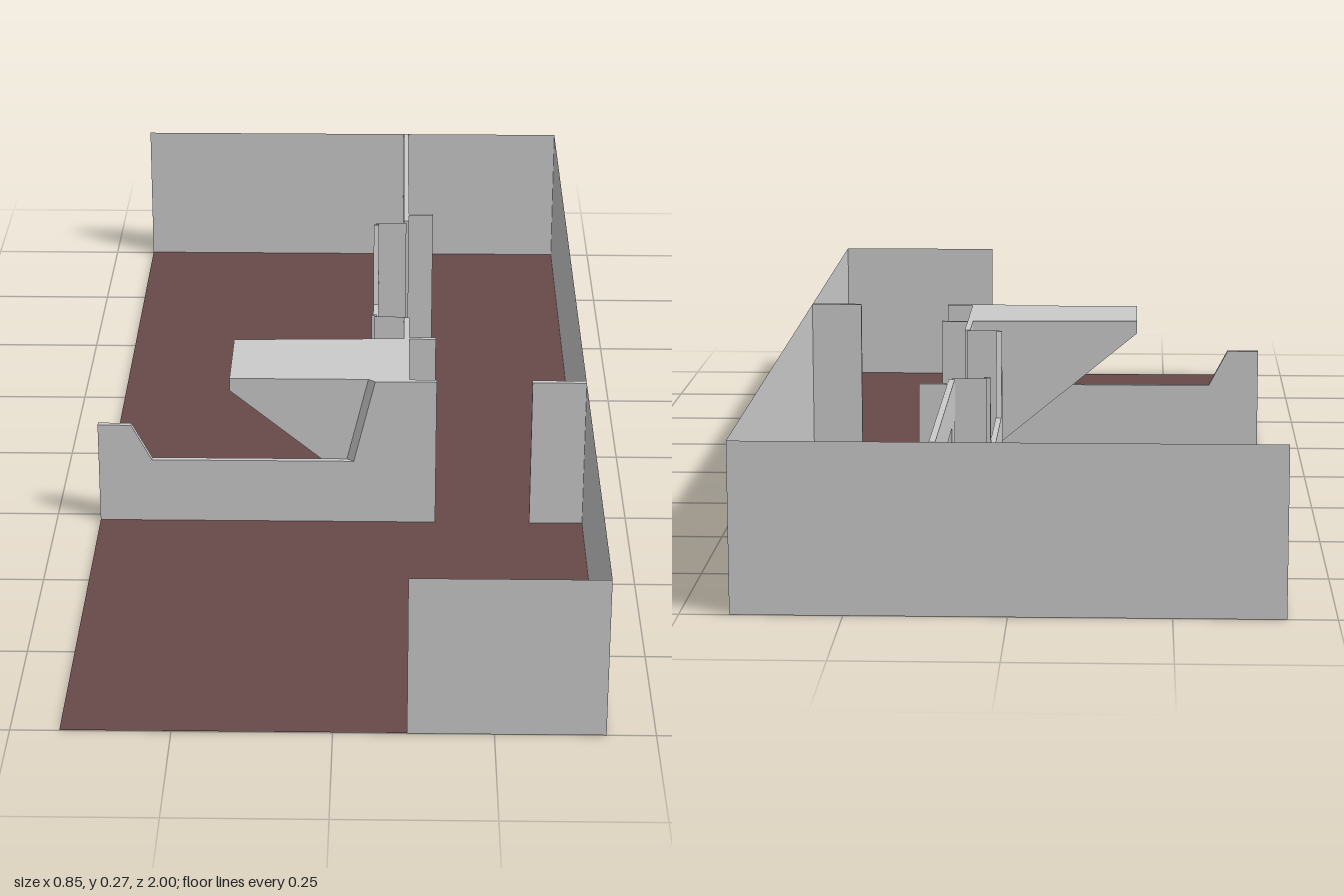
import * as THREE from 'three';

const H = 0.27, T = 0.01, W = 0.423;
const grey = new THREE.MeshStandardMaterial({ color: 0xcccccc, side: THREE.DoubleSide, flatShading: true });
const brown = new THREE.MeshStandardMaterial({ color: 0x684a4a, side: THREE.DoubleSide });

export function createModel() {
  const model = new THREE.Group();

  const add = (name, geometry, material = grey) => {
    const mesh = new THREE.Mesh(geometry, material);
    mesh.name = name;
    model.add(mesh);
    return mesh;
  };

  // Upright box between two plan corners
  const wall = (name, x0, x1, z0, z1, y0 = 0, y1 = H) =>
    add(name, new THREE.BoxGeometry(x1 - x0, y1 - y0, z1 - z0))
      .position.set((x0 + x1) / 2, (y0 + y1) / 2, (z0 + z1) / 2);

  // Paper-thin upright panel along x or z
  const panel = (name, x0, z0, x1, z1) => {
    const mesh = add(name, new THREE.PlaneGeometry(Math.hypot(x1 - x0, z1 - z0), H));
    mesh.position.set((x0 + x1) / 2, H / 2, (z0 + z1) / 2);
    mesh.rotation.y = -Math.atan2(z1 - z0, x1 - x0);
  };

  const extrude = (points, depth) => new THREE.ExtrudeGeometry(
    new THREE.Shape(points.map(([x, y]) => new THREE.Vector2(x, y))), { depth, bevelEnabled: false });

  // Move the vertices of a geometry by a rule
  const bend = (geometry, rule) => {
    const p = geometry.attributes.position, v = new THREE.Vector3();
    for (let i = 0; i < p.count; i++) {
      rule(v.fromBufferAttribute(p, i));
      p.setXYZ(i, v.x, v.y, v.z);
    }
    geometry.computeVertexNormals();
    return geometry;
  };

  // Floor, just above the feet of the walls
  const floor = add('floor', new THREE.PlaneGeometry(2 * W, 2), brown);
  floor.rotation.x = -Math.PI / 2;
  floor.position.y = 0.001;

  // Thin outer walls
  panel('leftOuterWall', W, 1, W, -1);
  panel('backOuterWall', -W, -1, W, -1);
  panel('frontOuterWall', 0.115, 1, W, 1);

  // Corridor wall with a doorway near the back
  const x0 = 0.108, x1 = x0 + T;
  wall('corridorWallBack', x0, x1, -1, -0.7);
  wall('corridorLintel', x0, x1, -0.7, -0.58, 0.205, H);
  wall('corridorDoorPost', x0, x1, -0.58, -0.495);
  wall('corridorWallFront', x0, x1, 0.01 - 0.022, 0.263);
  for (const z of [-0.535, 0.078]) wall('corridorStub', x1, 0.165, z, z + 0.008);

  // Low wall set out from the corridor, with sloping ends and thin returns
  const low = add('lowSillWall', extrude(
    [[-0.477, 0], [-0.02, 0], [-0.02, H], [-0.025, H], [-0.063, 0.118], [-0.438, 0.118], [-0.472, H], [-0.477, H]], T));
  low.rotation.y = -Math.PI / 2;
  low.position.x = 0.06;
  for (const z of [-0.485, -0.016]) panel('nicheReturn', 0.055, z, 0.113, z);

  // Cross wall with a cut-out whose inner slope is splayed
  const cross = extrude([[-W, 0], [0.165, 0], [0.165, H], [0.059, H], [0.022, 0.118],
    [-0.33, 0.118], [-0.365, 0.184], [-W, 0.184]], T);
  add('crossWall', bend(cross, v => {
    if (v.z < T / 2 && v.x > 0 && v.x < 0.1) v.x -= 0.012;
  })).position.z = 0.263;
  wall('crossWallStub', 0.33, W, 0.263, 0.273);

  // Solid stair block with a sloping underside and a skewed back
  const stair = extrude([[-0.193, H], [-0.193, 0.247], [0.11, 0], [0.117, 0], [0.117, H]], 0.18);
  add('stairBlock', bend(stair, v => {
    v.z += v.z < 0.09 ? 0.083 - (v.x - 0.117) * 0.032 : 0.083;
  }));

  return model;
}
